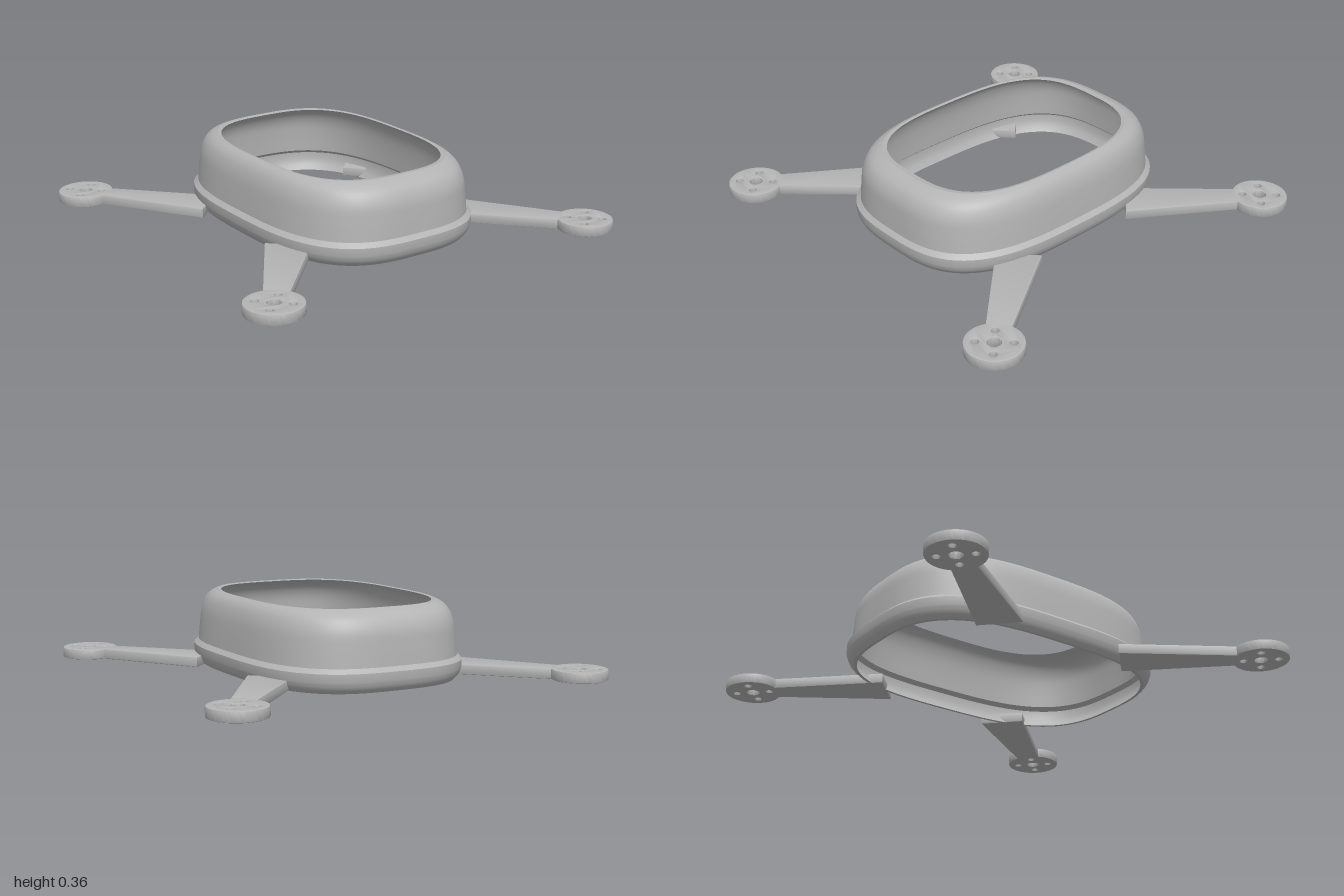
import * as THREE from 'three';
import { toCreasedNormals } from 'three/addons/utils/BufferGeometryUtils.js';

const COLS = 112;

// Smooth profile run through [halfWidth, y, halfLength] points
const smoothRun = (pts, n) =>
  new THREE.CatmullRomCurve3(pts.map((p) => new THREE.Vector3(...p))).getPoints(n).map((v) => v.toArray());

// Closed ring swept round a rounded-rectangle outline (cubic superellipse)
function ringGeometry(profile) {
  const pos = [], idx = [];
  for (const [hx, y, hz] of profile) {
    for (let j = 0; j < COLS; j++) {
      const t = (j / COLS) * Math.PI * 2;
      const c = Math.cos(t), s = Math.sin(t);
      const r = Math.pow(Math.abs(c) ** 3 + Math.abs(s) ** 3, -1 / 3);
      pos.push(hx * r * c, y, hz * r * s);
    }
  }
  const rows = profile.length;
  for (let i = 0; i < rows; i++) {
    const k = (i + 1) % rows;
    for (let j = 0; j < COLS; j++) {
      const m = (j + 1) % COLS;
      const a = i * COLS + j, b = k * COLS + j, c = i * COLS + m, d = k * COLS + m;
      idx.push(a, b, c, c, b, d);
    }
  }
  const g = new THREE.BufferGeometry();
  g.setAttribute('position', new THREE.Float32BufferAttribute(pos, 3));
  g.setIndex(idx);
  return toCreasedNormals(g, 0.45);
}

// Flat plate lying on the ground, 0.05 thick with softened edges
function plateGeometry(shape) {
  const b = 0.007;
  const g = new THREE.ExtrudeGeometry(shape, {
    depth: 0.05 - 2 * b, bevelEnabled: true, bevelThickness: b, bevelSize: b,
    bevelOffset: -b, bevelSegments: 2, curveSegments: 40,
  });
  g.rotateX(-Math.PI / 2).translate(0, b, 0);
  return toCreasedNormals(g, 0.6);
}

function circleHole(x, y, r) {
  const p = new THREE.Path();
  p.absarc(x, y, r, 0, Math.PI * 2, true);
  return p;
}

export function createModel() {
  const group = new THREE.Group();
  group.name = 'droneFrame';
  const grey = new THREE.MeshStandardMaterial({ color: 0xb4b4b4 });
  grey.name = 'grey plastic';
  const add = (name, geometry, parent = group) => {
    const mesh = new THREE.Mesh(geometry, grey);
    mesh.name = name;
    parent.add(mesh);
    return mesh;
  };

  // Thin-walled body shell: tapered skirt, lip, then a domed wall open at top
  const skirt = smoothRun([[0.487, 0, 0.69], [0.507, 0.025, 0.711], [0.518, 0.055, 0.722]], 6);
  const dome = smoothRun([
    [0.497, 0.112, 0.702], [0.489, 0.2, 0.696], [0.48, 0.268, 0.688],
    [0.463, 0.318, 0.664], [0.442, 0.345, 0.63], [0.416, 0.36, 0.592],
  ], 18);
  const inside = smoothRun([
    [0.404, 0.357, 0.567], [0.43, 0.335, 0.617], [0.447, 0.308, 0.648],
    [0.462, 0.262, 0.67], [0.471, 0.2, 0.678], [0.477, 0.105, 0.683],
  ], 18);
  const ledge = [[0.497, 0.088, 0.702], [0.497, 0.055, 0.702], [0.488, 0.025, 0.693], [0.473, 0, 0.676]];
  add('bodyShell', ringGeometry([...skirt, [0.518, 0.092, 0.722], ...dome, ...inside, ...ledge]));

  // Four tapered arms with drilled motor mounts
  for (const [sx, sz, corner] of [[1, 1, 'frontLeft'], [-1, 1, 'frontRight'], [1, -1, 'backLeft'], [-1, -1, 'backRight']]) {
    const assembly = new THREE.Group();
    assembly.name = corner + 'Arm';
    group.add(assembly);

    const arm = new THREE.Shape(
      [[0.54, 0.273], [0.848, 0.74], [0.755, 0.808], [0.387, 0.42]]
        .map(([x, z]) => new THREE.Vector2(x * sx, -z * sz)));
    add('arm', plateGeometry(arm), assembly);

    const mount = new THREE.Shape();
    mount.absarc(0, 0, 0.132, 0, Math.PI * 2, false);
    mount.holes.push(circleHole(0, 0, 0.03));
    for (const hx of [-1, 1]) for (const hz of [-1, 1]) mount.holes.push(circleHole(hx * 0.057, hz * 0.057, 0.0165));
    add('motorMount', plateGeometry(mount), assembly).position.set(0.868 * sx, 0, 0.858 * sz);
  }
  return group;
}
